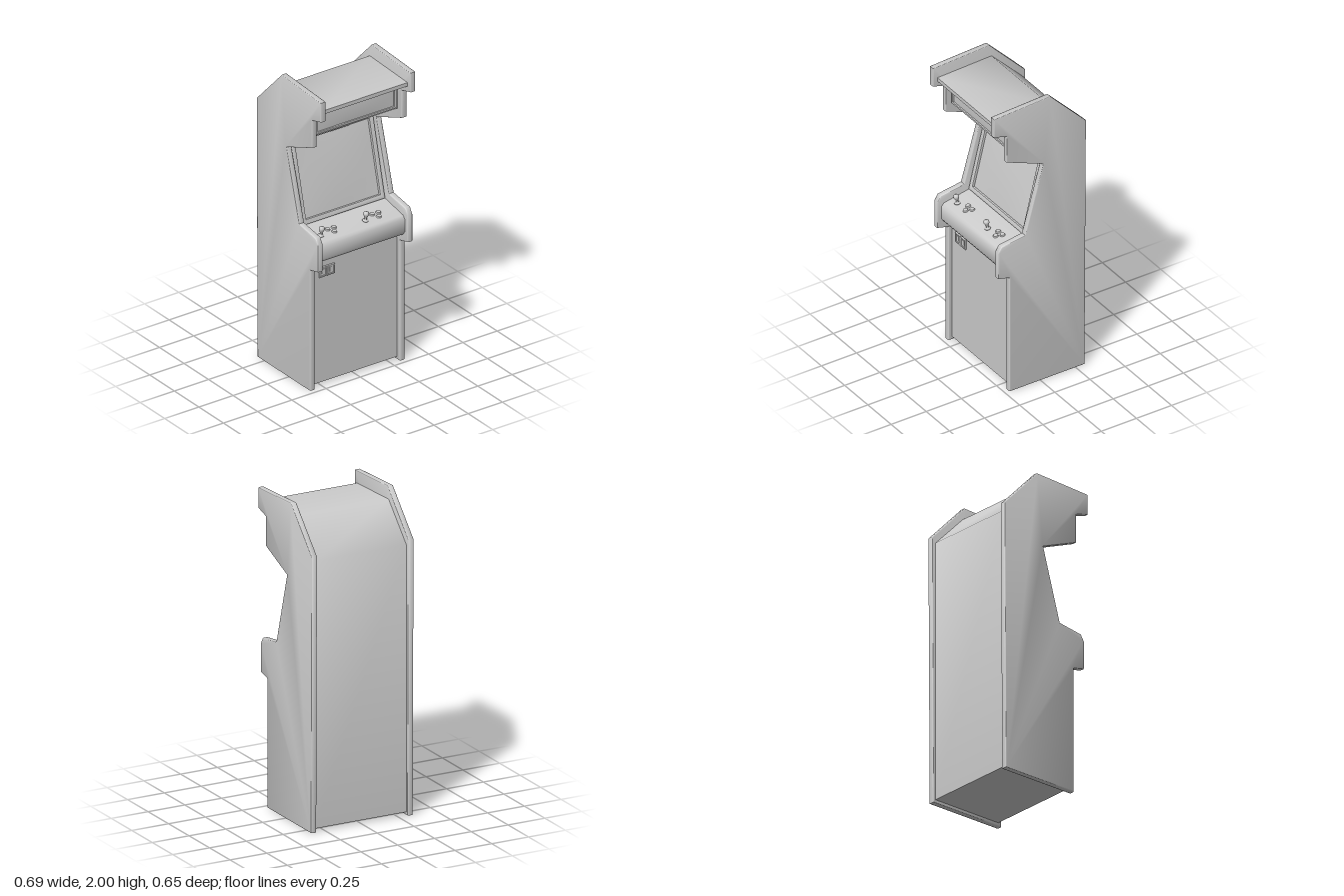
import * as THREE from 'three';
import { toCreasedNormals } from 'three/addons/utils/BufferGeometryUtils.js';

const material = new THREE.MeshStandardMaterial({ color: 0xcccccc });

function add(parent, name, geometry, x = 0, y = 0, z = 0) {
  const mesh = new THREE.Mesh(geometry, material);
  mesh.name = name;
  mesh.position.set(x, y, z);
  parent.add(mesh);
  return mesh;
}

// A tilted mounting plane for parts that sit on sloping surfaces
function mount(parent, name, y, z, tilt) {
  const group = new THREE.Group();
  group.name = name;
  group.position.set(0, y, z);
  group.rotation.x = tilt;
  parent.add(group);
  return group;
}

// Extrude a [z, y] outline across the cabinet width, centred on x = 0
function crossExtrude(points, width, bevel, crease) {
  const shape = new THREE.Shape(points.map(([z, y]) => new THREE.Vector2(z, y)));
  const geometry = new THREE.ExtrudeGeometry(shape, {
    depth: width - 2 * bevel, bevelEnabled: bevel > 0, bevelSize: bevel,
    bevelThickness: bevel, bevelOffset: -bevel, bevelSegments: 2,
  });
  geometry.translate(0, 0, -(width - 2 * bevel) / 2);
  geometry.rotateY(-Math.PI / 2);
  return toCreasedNormals(geometry, crease);
}

function rectangle(Type, w, h) {
  return new Type([[-1, -1], [1, -1], [1, 1], [-1, 1]].map(
    ([x, y]) => new THREE.Vector2(x * w / 2, y * h / 2)));
}

// Rectangular frame whose back lies on z = 0
function frame(w, h, border, depth, bevel) {
  const shape = rectangle(THREE.Shape, w - 2 * bevel, h - 2 * bevel);
  shape.holes.push(rectangle(THREE.Path, w - 2 * border + 2 * bevel, h - 2 * border + 2 * bevel));
  const geometry = new THREE.ExtrudeGeometry(shape, {
    depth: depth - bevel, bevelSize: bevel, bevelThickness: bevel, bevelSegments: 2,
  });
  return toCreasedNormals(geometry, 0.6);
}

// Gently domed rectangular pane
function dome(w, h, rise) {
  const geometry = new THREE.PlaneGeometry(w, h, 12, 12);
  const p = geometry.attributes.position;
  for (let i = 0; i < p.count; i++) {
    const u = 2 * p.getX(i) / w, v = 2 * p.getY(i) / h;
    p.setZ(i, rise * (1 - u * u) * (1 - v * v));
  }
  geometry.computeVertexNormals();
  return geometry;
}

export function createModel() {
  const cabinet = new THREE.Group();
  cabinet.name = 'arcadeCabinet';

  // Side panels
  const sideOutline = [
    [-0.315, 0], [0.22, 0], [0.22, 0.81], [0.30, 0.83], [0.30, 1.01], [0.275, 1.05],
    [0.11, 1.075], [-0.02, 1.535], [0.24, 1.64], [0.24, 1.825], [0.33, 1.85],
    [0.33, 1.98], [-0.07, 2.0], [-0.325, 1.735],
  ];
  const panel = crossExtrude(sideOutline, 0.038, 0.006, 0.9);
  add(cabinet, 'leftSidePanel', panel, 0.328);
  add(cabinet, 'rightSidePanel', panel, -0.328);

  // Body between the panels
  const bodyOutline = [
    [-0.30, 0.02], [0.195, 0.02], [0.195, 0.84], [0.26, 0.87], [0.272, 0.89], [0.272, 0.975],
    [0.255, 0.995], [0.07, 1.03], [-0.06, 1.56], [0.20, 1.69], [0.20, 1.87],
    [0.30, 1.88], [0.30, 1.905], [-0.085, 1.92], [-0.30, 1.70],
  ];
  add(cabinet, 'body', crossExtrude(bodyOutline, 0.622, 0, 0.9));

  // Screen and bezel on the sloping face
  const display = mount(cabinet, 'display', 1.295, 0.005, -Math.atan2(0.13, 0.53));
  add(display, 'screenBezel', frame(0.605, 0.54, 0.033, 0.018, 0.008));
  add(display, 'screen', dome(0.545, 0.48, 0.008), 0, 0, 0.002);

  // Marquee
  const marquee = mount(cabinet, 'marquee', 1.785, 0.20, 0);
  add(marquee, 'marqueeFrame', frame(0.585, 0.168, 0.014, 0.012, 0.004));
  add(marquee, 'marqueeGlass', dome(0.557, 0.14, 0.004), 0, 0, 0.002);

  // Joysticks and buttons on the control deck
  const controls = mount(cabinet, 'controls', 1.0125, 0.1625, Math.atan2(0.035, 0.185));
  const stickProfile = [
    [0, 0], [0.02, 0], [0.018, 0.004], [0.007, 0.006], [0.007, 0.02], [0.013, 0.034],
    [0.018, 0.046], [0.017, 0.056], [0.010, 0.064], [0, 0.066],
  ].map(([r, y]) => new THREE.Vector2(r, y));
  const stick = new THREE.LatheGeometry(stickProfile, 20);
  const button = toCreasedNormals(new THREE.CylinderGeometry(0.014, 0.017, 0.01, 20), 0.6);
  for (const [player, x] of [['right', -0.25], ['left', 0.075]]) {
    add(controls, player + 'Joystick', stick, x, 0, 0.035);
    for (const [dx, dz] of [[0.07, 0.005], [0.115, 0.005], [0.095, 0.04]])
      add(controls, player + 'Button', button, x + dx, 0.004, dz);
  }

  // Coin slots on the lower front
  for (const x of [-0.237, -0.18]) {
    const slot = mount(cabinet, 'coinSlot', 0.76, 0.195, 0);
    slot.position.x = x;
    add(slot, 'coinSlotFrame', frame(0.054, 0.066, 0.009, 0.012, 0.003));
    add(slot, 'coinFlap', new THREE.BoxGeometry(0.038, 0.05, 0.008), 0, 0, 0.002);
    add(slot, 'coinReturn', new THREE.BoxGeometry(0.02, 0.03, 0.008), 0, 0.004, 0.005);
  }

  return cabinet;
}
